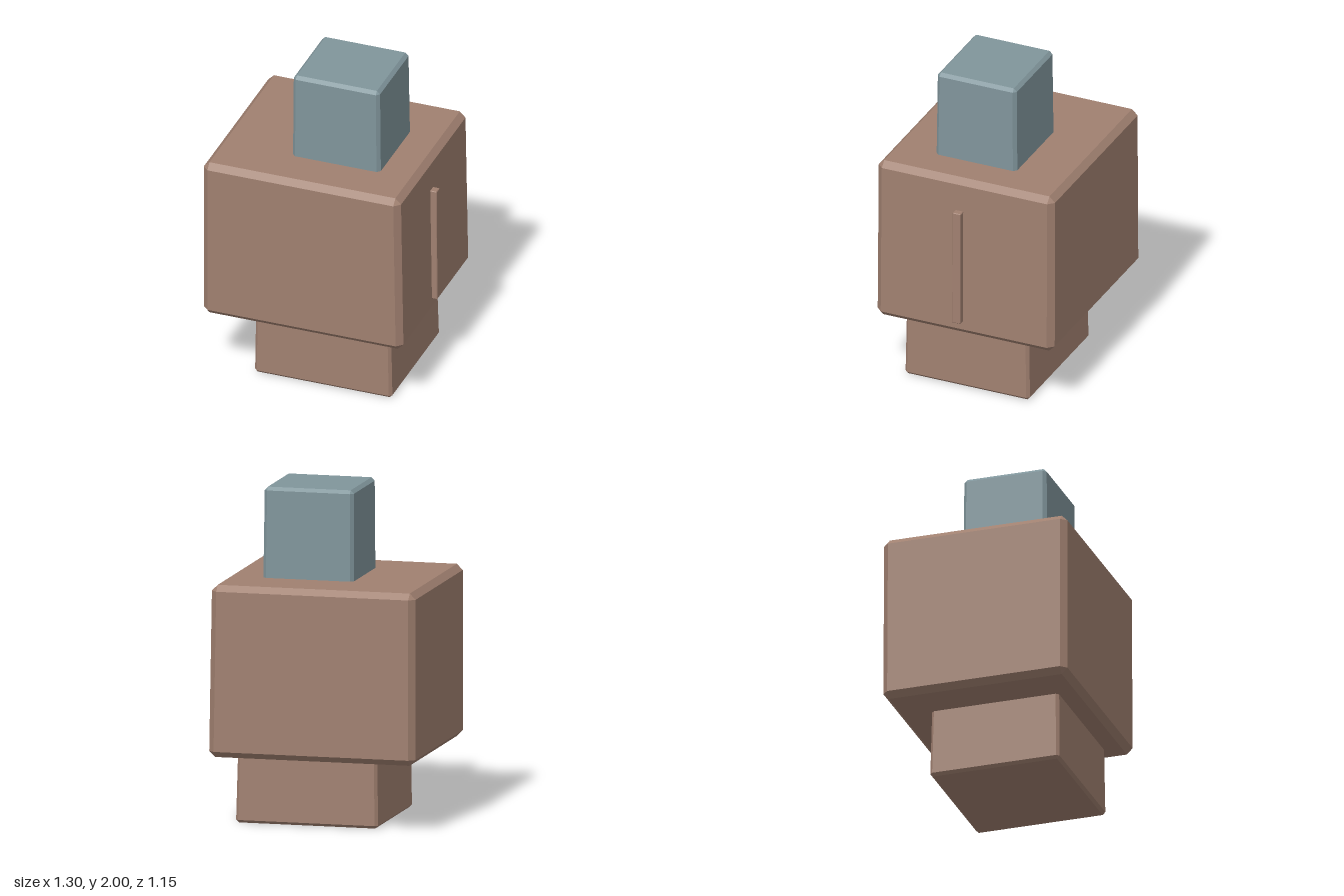
import * as THREE from 'three';
import { ConvexGeometry } from 'three/addons/geometries/ConvexGeometry.js';

// Chamfered block, tapering from the bottom extents to the top extents.
// Extents are [xMin, xMax, zMin, zMax]; c is the chamfer width.
function chamferedBlock(y0, y1, bottom, top, c) {
  const points = [];
  for (const upper of [false, true]) {
    const [xa, xb, za, zb] = upper ? top : bottom;
    const y = upper ? y1 : y0;
    const inward = upper ? -c : c;
    for (const [x, sx] of [[xa, c], [xb, -c]]) {
      for (const [z, sz] of [[za, c], [zb, -c]]) {
        points.push(
          new THREE.Vector3(x, y + inward, z + sz),
          new THREE.Vector3(x + sx, y + inward, z),
          new THREE.Vector3(x + sx, y, z + sz)
        );
      }
    }
  }
  return new ConvexGeometry(points);
}

export function createModel() {
  const model = new THREE.Group();
  model.name = 'stackedBlocks';

  const brown = new THREE.MeshStandardMaterial({ color: 0xa08070 });
  brown.name = 'warm brown';
  const slate = new THREE.MeshStandardMaterial({ color: 0x80959b });
  slate.name = 'slate blue';

  const add = (name, material, ...block) => {
    const mesh = new THREE.Mesh(chamferedBlock(...block), material);
    mesh.name = name;
    model.add(mesh);
  };

  // Foot block, its top sunk into the body
  add('base', brown, 0, 0.46, [-0.37, 0.5, -0.37, 0.44], [-0.365, 0.49, -0.36, 0.435], 0.017);
  // Large middle block
  add('body', brown, 0.42, 1.455, [-0.65, 0.615, -0.575, 0.578], [-0.65, 0.6, -0.57, 0.578], 0.036);
  // Upper block, its bottom sunk into the body
  add('head', slate, 1.41, 2, [-0.185, 0.372, -0.228, 0.298], [-0.182, 0.365, -0.222, 0.293], 0.02);
  // Thin upright strip on the left side
  add('sideStrip', brown, 0.507, 1.247, [0.58, 0.648, 0.008, 0.064], [0.58, 0.643, 0.01, 0.062], 0.004);

  return model;
}
